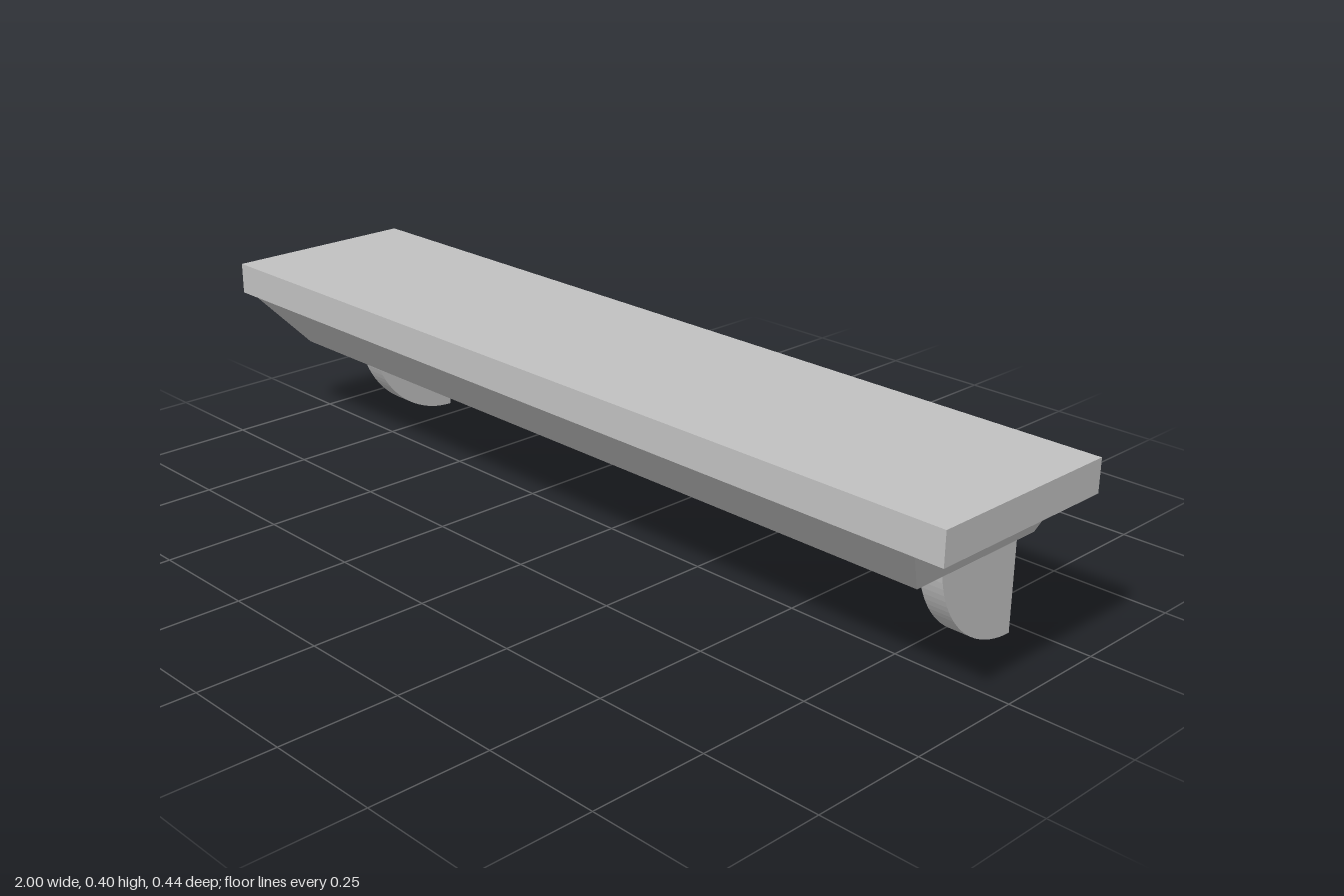
import * as THREE from 'three';

export function createModel() {
  const group = new THREE.Group();
  group.name = 'wallShelf';
  const grey = new THREE.MeshStandardMaterial({ color: 0xc0c0c0 });
  grey.name = 'light grey';

  const BACK = -0.218, FRONT = 0.218, TOP = 0.4, BOARD = 0.332, BASE = 0.218;

  const add = (name, geometry) => {
    const mesh = new THREE.Mesh(geometry, grey);
    mesh.name = name;
    group.add(mesh);
    return mesh;
  };

  // Flat top board
  add('shelfBoard', new THREE.BoxGeometry(2, TOP - BOARD, FRONT - BACK))
    .position.y = (TOP + BOARD) / 2;

  // Support under the board: front and ends slope inward, back stays flush
  const support = new THREE.BoxGeometry(1, 1, 1);
  const p = support.attributes.position;
  for (let i = 0; i < p.count; i++) {
    const upper = p.getY(i) > 0;
    const right = p.getX(i) > 0;
    const x = upper ? (right ? 0.942 : -0.944) : (right ? 0.878 : -0.888);
    const z = p.getZ(i) < 0 ? BACK : (upper ? FRONT : 0.12);
    p.setXYZ(i, x, upper ? BOARD : BASE, z);
  }
  support.computeVertexNormals();
  add('taperedSupport', support);

  // Quarter-round brackets against the wall
  const thickness = 0.051, radius = 0.222;
  const profile = new THREE.Shape();
  profile.moveTo(BACK, BASE);
  profile.lineTo(BACK, 0);
  for (let i = 1; i <= 24; i++) {
    const a = (i / 24) * Math.PI / 2;
    profile.lineTo(BACK + radius * Math.sin(a), BASE * (1 - Math.cos(a)));
  }
  profile.closePath();
  const bracket = new THREE.ExtrudeGeometry(profile, { depth: thickness, bevelEnabled: false });
  bracket.translate(0, 0, -thickness / 2);
  bracket.rotateY(-Math.PI / 2);
  add('rightBracket', bracket).position.x = -0.828;
  add('leftBracket', bracket).position.x = 0.818;

  return group;
}
